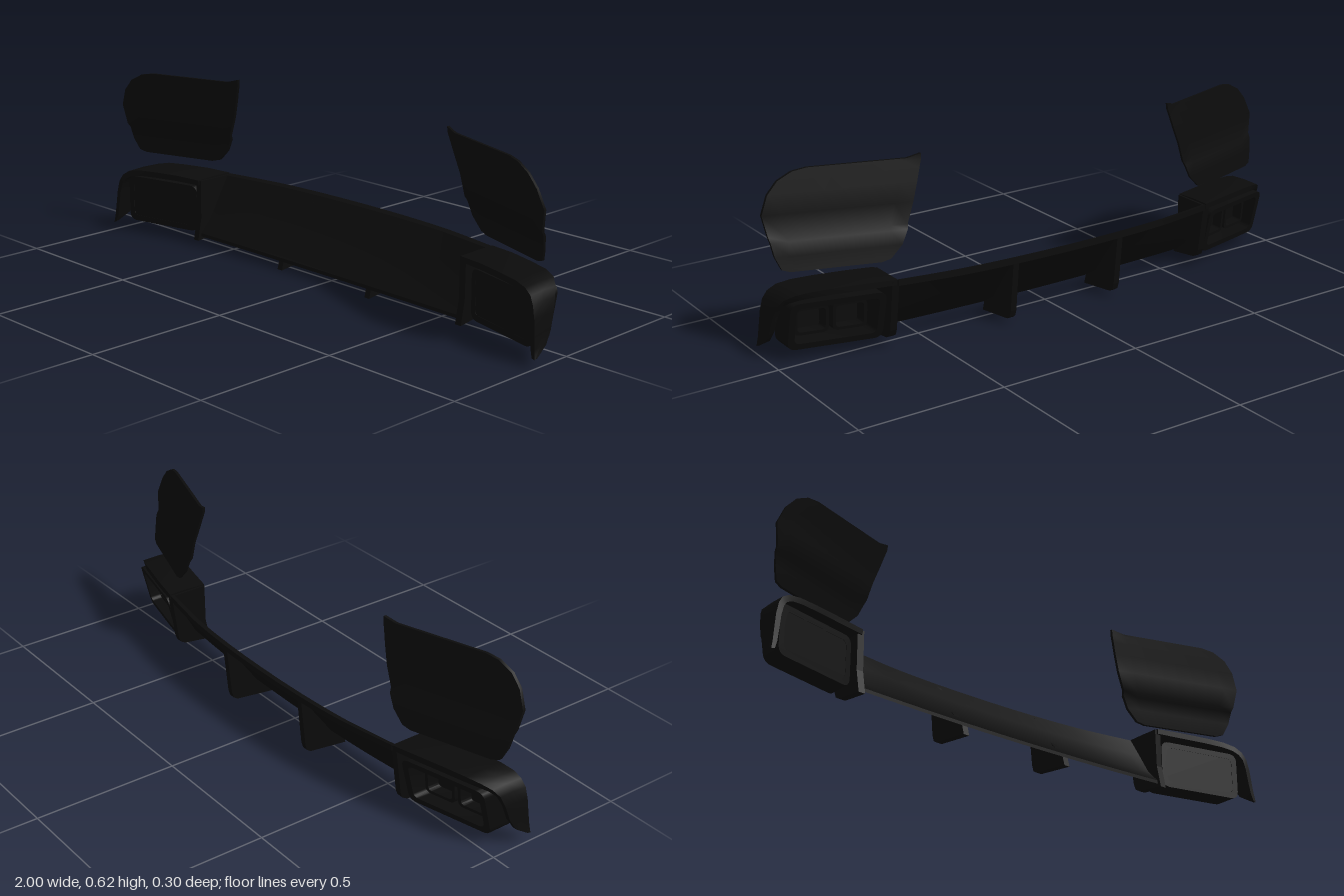
import * as THREE from 'three';
import { toCreasedNormals } from 'three/addons/utils/BufferGeometryUtils.js';

const black = new THREE.MeshStandardMaterial({ color: 0x0b0b0b, side: THREE.DoubleSide });
black.name = 'gloss black';

// Piecewise-linear lookup in a list of [position, value] pairs
function lookup(table, p) {
  for (let i = 1; i < table.length; i++) {
    const [a, va] = table[i - 1], [b, vb] = table[i];
    if (p <= b) return va + (vb - va) * Math.max(0, (p - a) / (b - a));
  }
  return table[table.length - 1][1];
}

// Thick sheet: each section is a row of outer points followed by the same row of inner points reversed
function slab(name, sections) {
  const n = sections[0].length, index = [];
  const quad = (a, b, c, d) => index.push(a, b, c, a, c, d);
  for (let s = 0; s < sections.length - 1; s++) {
    for (let i = 0; i < n; i++) {
      const j = (i + 1) % n;
      quad(s * n + i, s * n + j, (s + 1) * n + j, (s + 1) * n + i);
    }
  }
  const last = (sections.length - 1) * n;
  for (let i = 0; i < n / 2 - 1; i++) {
    quad(i, n - 1 - i, n - 2 - i, i + 1);
    quad(last + i, last + i + 1, last + n - 2 - i, last + n - 1 - i);
  }
  const geo = new THREE.BufferGeometry();
  geo.setAttribute('position', new THREE.Float32BufferAttribute(sections.flat(2), 3));
  geo.setIndex(index);
  return mesh(name, toCreasedNormals(geo, 0.6));
}

function mesh(name, geo) {
  const m = new THREE.Mesh(geo, black);
  m.name = name;
  return m;
}

// Upright plate drawn as [z, y] points
function fin(name, points, x, width) {
  const shape = new THREE.Shape(points.map(p => new THREE.Vector2(...p)));
  const geo = new THREE.ExtrudeGeometry(shape, { depth: width, bevelEnabled: false });
  geo.translate(0, 0, -width / 2).rotateY(-Math.PI / 2).translate(x, 0, 0);
  return mesh(name, geo);
}

function roundedRect(Type, x0, y0, x1, y1, r) {
  const s = new Type();
  s.moveTo(x0 + r, y0);
  s.lineTo(x1 - r, y0).quadraticCurveTo(x1, y0, x1, y0 + r);
  s.lineTo(x1, y1 - r).quadraticCurveTo(x1, y1, x1 - r, y1);
  s.lineTo(x0 + r, y1).quadraticCurveTo(x0, y1, x0, y1 - r);
  s.lineTo(x0, y0 + r).quadraticCurveTo(x0, y0, x0 + r, y0);
  return s;
}

// Extrusion whose front and back follow the sweep of the bumper
function sweptExtrude(name, shape, front, back, lean) {
  const geo = new THREE.ExtrudeGeometry(shape, { depth: 1, bevelEnabled: false, curveSegments: 6 });
  const p = geo.attributes.position;
  for (let i = 0; i < p.count; i++) {
    const base = p.getZ(i) > 0.5 ? front : back - lean * (p.getY(i) - 0.04);
    p.setZ(i, base + 0.24 * (p.getX(i) - 0.64));
  }
  return mesh(name, toCreasedNormals(geo, 0.6));
}

// Centre diffuser: slanted panel with a thin lip along its top rear edge
function diffuserPanel() {
  const rear = [[0, -0.149], [0.1, -0.148], [0.2, -0.145], [0.3, -0.139], [0.4, -0.13], [0.5, -0.114], [0.63, -0.09]];
  const profile = [[0, 0.241], [0.12, 0.236], [0.4, 0.165], [0.7, 0.088], [1, 0.042]];
  const under = [[0, 0.221], [0.08, 0.218], [0.38, 0.145], [0.68, 0.068], [1, 0.03]];
  const sections = [];
  for (let i = 0; i <= 24; i++) {
    const x = -0.62 + 1.24 * i / 24, a = Math.abs(x);
    const zb = lookup(rear, a), zf = 0.04 + 0.035 * a * a;
    const place = ([t, y]) => [x, y + 0.01 * a * a * t, zb + (zf - zb) * t];
    sections.push([...profile.map(place), ...under.map(place).reverse()]);
  }
  return slab('diffuserPanel', sections);
}

// Corner arch: x, y, rear z, front z, and the inward offset of its inner skin
function cornerArch() {
  const rows = [
    [0.625, 0.243, -0.092, 0.055, 0, -0.018], [0.72, 0.246, -0.073, 0.074, 0, -0.02],
    [0.82, 0.245, -0.047, 0.098, 0, -0.02], [0.89, 0.242, -0.028, 0.114, -0.006, -0.02],
    [0.935, 0.233, -0.008, 0.125, -0.012, -0.018], [0.962, 0.216, 0.015, 0.132, -0.016, -0.013],
    [0.977, 0.19, 0.036, 0.138, -0.018, -0.006], [0.986, 0.15, 0.052, 0.141, -0.018, 0],
    [0.991, 0.1, 0.068, 0.144, -0.017, 0], [0.995, 0.06, 0.093, 0.147, -0.015, 0],
    [1, 0.03, 0.14, 0.15, -0.012, 0.004]];
  return slab('cornerArch', rows.map(([x, y, zb, zf, dx, dy]) => {
    const mid = (zb + zf) / 2;
    return [[x, y, zb], [x, y + 0.001, mid], [x, y - 0.003, zf],
      [x + dx, y + dy - 0.003, zf], [x + dx, y + dy, mid], [x + dx, y + dy, zb]];
  }));
}

// Lamp cover: leaning curved plate described by rows of [y, inner x, outer x]
function lampCover() {
  const rows = [[0.292, 0.65, 0.92], [0.3, 0.62, 0.945], [0.34, 0.58, 0.96], [0.385, 0.559, 0.967],
    [0.4, 0.554, 0.969], [0.47, 0.532, 0.982], [0.53, 0.512, 0.957], [0.57, 0.5, 0.922],
    [0.595, 0.492, 0.875], [0.603, 0.49, 0.83]];
  const lean = [[0.29, -0.066], [0.34, -0.054], [0.385, -0.046], [0.4, -0.036], [0.47, -0.03], [0.603, 0]];
  const n = 8;
  return slab('lampCover', rows.map(([y, xi, xo], r) => {
    const back = [], front = [];
    for (let i = 0; i <= n; i++) {
      const x = xi + (xo - xi) * i / n;
      // small raised point at the top inner corner
      const top = y + (r === rows.length - 1 && i === 0 ? 0.012 : 0);
      const z = -0.03 + 0.32 * (x - 0.49) + lookup(lean, y);
      back.push([x, top, z]);
      front.push([x, top, z + 0.01]);
    }
    return [...back, ...front.reverse()];
  }));
}

// Exhaust surround: rounded frame, closed at the front, with two tips inside
function exhaustSurround() {
  const g = new THREE.Group();
  g.name = 'exhaustSurround';
  const frame = roundedRect(THREE.Shape, 0.655, 0.04, 0.953, 0.208, 0.03);
  frame.holes.push(roundedRect(THREE.Path, 0.675, 0.06, 0.933, 0.188, 0.02));
  g.add(sweptExtrude('exhaustFrame', frame, 0.035, -0.045, 0.25));
  g.add(sweptExtrude('frontPlate', roundedRect(THREE.Shape, 0.66, 0.045, 0.948, 0.203, 0.028), 0.034, 0.022, 0));
  for (const x of [0.69, 0.81]) {
    const tip = roundedRect(THREE.Shape, x, 0.075, x + 0.108, 0.17, 0.02);
    tip.holes.push(roundedRect(THREE.Path, x + 0.01, 0.085, x + 0.098, 0.16, 0.014));
    g.add(sweptExtrude('exhaustTip', tip, 0.025, -0.015, 0.1));
  }
  return g;
}

// Everything that repeats on both sides
function side(name, mirror) {
  const g = new THREE.Group();
  g.name = name;
  g.add(cornerArch(), exhaustSurround(), lampCover());
  g.add(fin('innerFin', [[0.045, 0], [-0.1, 0.018], [-0.115, 0.028], [-0.122, 0.05], [-0.14, 0.222],
    [-0.11, 0.22], [-0.045, 0.125], [0.035, 0.038]], 0.21, 0.022));
  g.add(fin('outerFin', [[0.068, 0.02], [-0.04, 0.034], [-0.058, 0.045], [-0.066, 0.065], [-0.09, 0.238],
    [0.05, 0.238], [0.052, 0.1]], 0.628, 0.024));
  g.scale.x = mirror;
  return g;
}

export function createModel() {
  const model = new THREE.Group();
  model.name = 'rearDiffuserSet';
  model.add(diffuserPanel(), side('leftSide', 1), side('rightSide', -1));
  return model;
}
